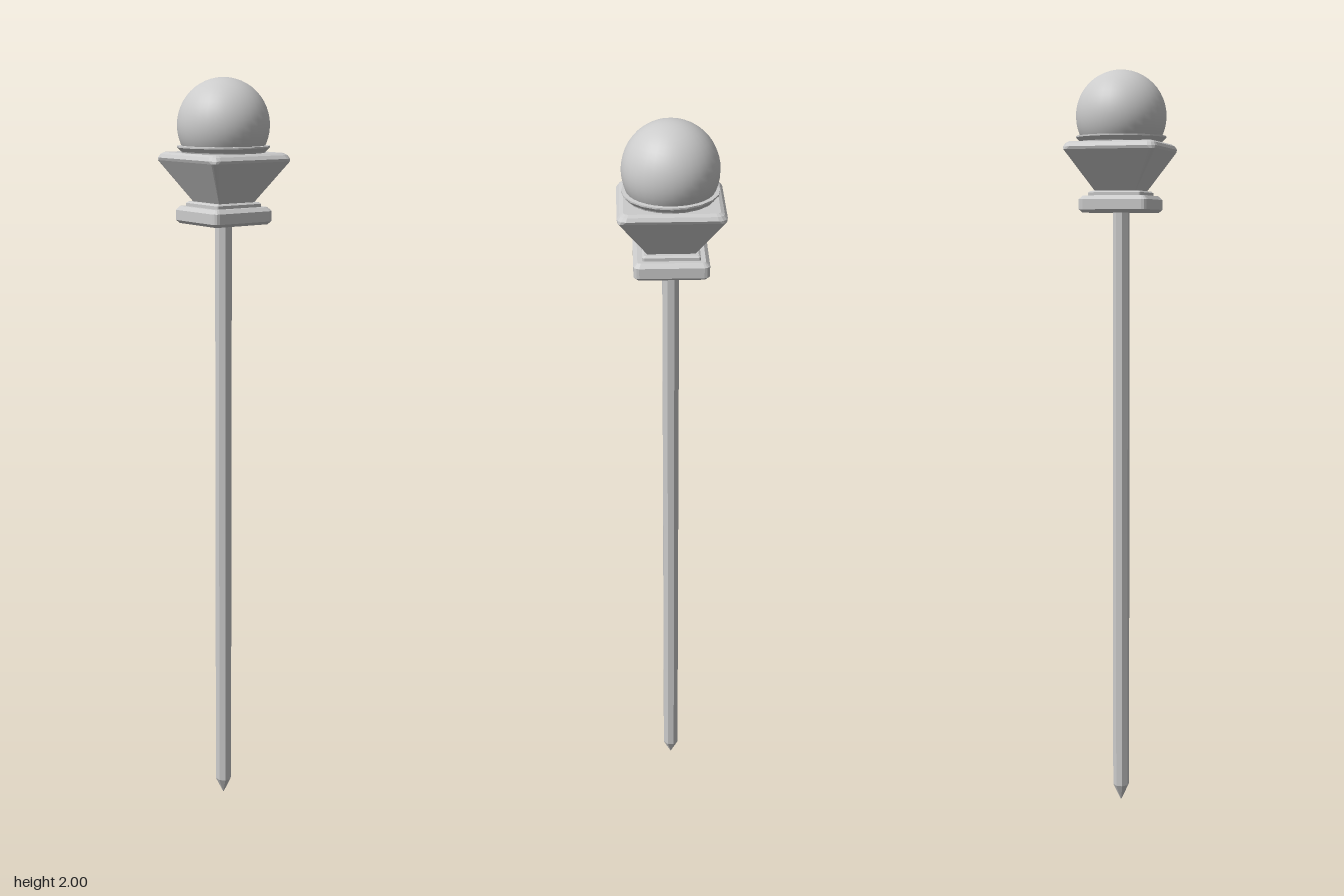
import * as THREE from 'three';

const STEPS = 3; // segments per rounded corner

// Stack of rounded-square sections [y, halfX, halfZ, cornerRadius], capped at both ends
function loft(sections) {
  const pos = [], idx = [], n = 4 * (STEPS + 1);
  for (const [y, hx, hz, r] of sections) {
    for (let c = 0; c < 4; c++) {
      const sx = c === 0 || c === 3 ? 1 : -1, sz = c < 2 ? 1 : -1;
      for (let s = 0; s <= STEPS; s++) {
        const a = (c + s / STEPS) * Math.PI / 2;
        pos.push(sx * (hx - r) + r * Math.cos(a), y, sz * (hz - r) + r * Math.sin(a));
      }
    }
  }
  const last = (sections.length - 1) * n;
  for (let k = 0; k < last; k += n) {
    for (let i = 0; i < n; i++) {
      const a = k + i, b = k + (i + 1) % n;
      idx.push(a, a + n, b, b, a + n, b + n);
    }
  }
  for (let i = 1; i < n - 1; i++) {
    idx.push(0, i, i + 1, last, last + i + 1, last + i);
  }
  const g = new THREE.BufferGeometry();
  g.setAttribute('position', new THREE.Float32BufferAttribute(pos, 3));
  g.setIndex(idx);
  const flat = g.toNonIndexed();
  flat.computeVertexNormals();
  return flat;
}

export function createModel() {
  const group = new THREE.Group();
  const smooth = new THREE.MeshStandardMaterial({ color: 0xcccccc });
  const faceted = new THREE.MeshStandardMaterial({ color: 0xcccccc, flatShading: true });
  const add = (name, geometry, material, y = 0) => {
    const mesh = new THREE.Mesh(geometry, material);
    mesh.name = name;
    mesh.position.y = y;
    group.add(mesh);
    return mesh;
  };

  // Eight-sided rod with a pointed foot
  const rodRadius = 0.0225, turn = Math.PI / 8;
  add('rod', new THREE.CylinderGeometry(rodRadius, rodRadius, 1.6, 8, 1, true), faceted, 0.845).rotation.y = turn;
  add('tip', new THREE.CylinderGeometry(rodRadius, 0.001, 0.045, 8), faceted, 0.0225).rotation.y = turn;

  // Square base plate with bevelled edges
  add('basePlate', loft([
    [1.632, 0.084, 0.084, 0.008],
    [1.640, 0.093, 0.093, 0.014],
    [1.666, 0.093, 0.093, 0.014],
    [1.676, 0.083, 0.083, 0.008],
  ]), faceted);

  // Small step between plate and cup
  add('neckStep', loft([
    [1.672, 0.071, 0.071, 0.005],
    [1.684, 0.071, 0.071, 0.005],
    [1.688, 0.066, 0.066, 0.004],
  ]), faceted);

  // Cup flaring upwards to a bevelled rim
  add('cup', loft([
    [1.682, 0.055, 0.052, 0.001],
    [1.792, 0.129, 0.122, 0.012],
    [1.799, 0.131, 0.125, 0.022],
    [1.808, 0.124, 0.120, 0.018],
    [1.813, 0.115, 0.111, 0.012],
  ]), faceted);

  // Thin collar holding the ball
  const collar = [[0, 1.808], [0.106, 1.808], [0.109, 1.816], [0.119, 1.826], [0.119, 1.830], [0.105, 1.831], [0, 1.831]];
  add('collar', new THREE.LatheGeometry(collar.map(([r, y]) => new THREE.Vector2(r, y)), 20), faceted);

  // Ball finial
  add('ball', new THREE.SphereGeometry(0.119, 32, 24), smooth, 1.881);

  return group;
}
